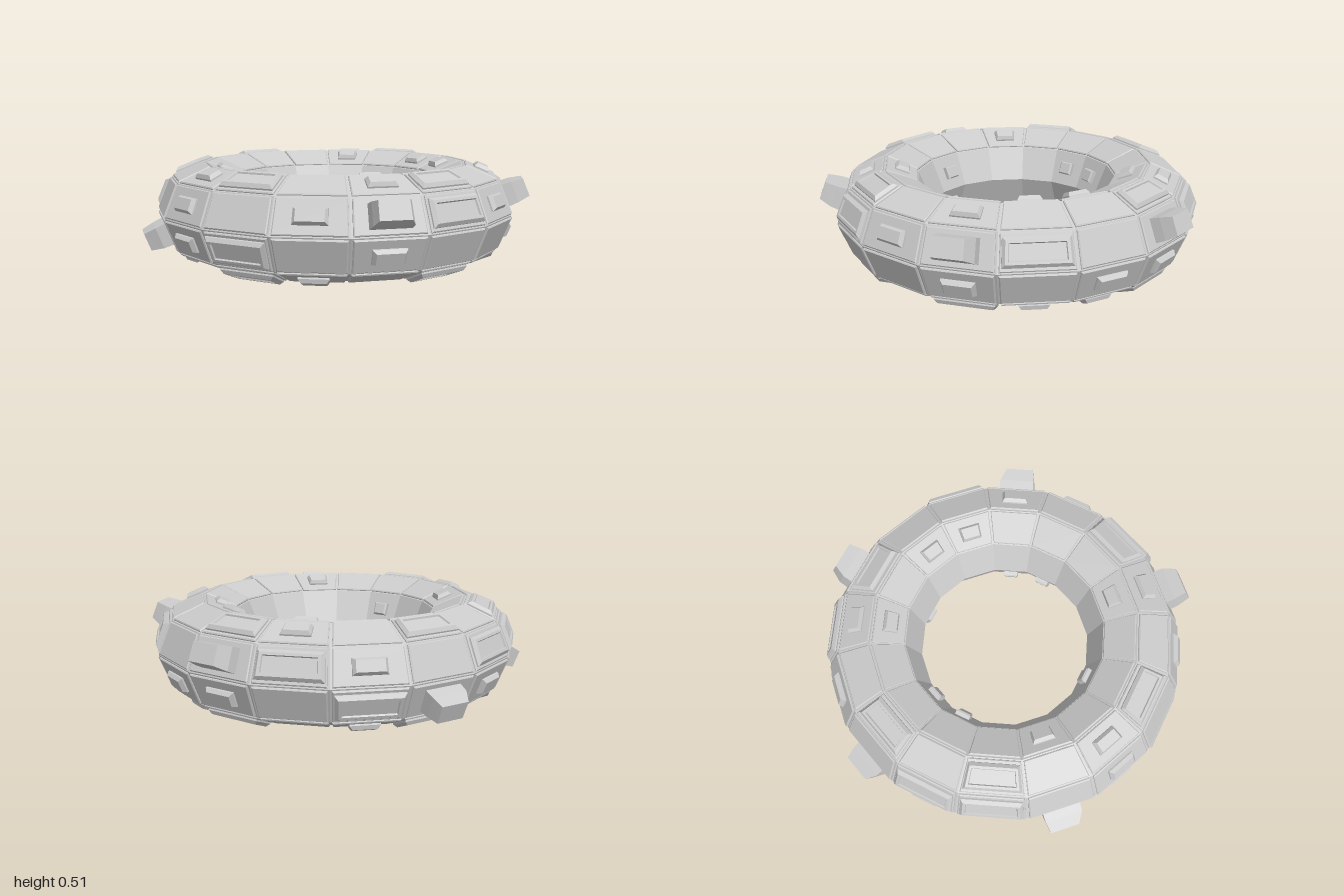
import * as THREE from 'three';
import { mergeGeometries } from 'three/addons/utils/BufferGeometryUtils.js';

const SEGS = 16, SIDES = 8, R = 0.68, TUBE = 0.24;
const CENTER = new THREE.Vector3(0.03, 0.275, 0.005);

// Point on the ring: i counts segments from the front towards +x, j counts tube sides upwards from the outside
function ringPoint(i, j) {
  const a = (i / SEGS) * Math.PI * 2, t = (j / SIDES) * Math.PI * 2;
  const r = R + TUBE * Math.cos(t);
  return new THREE.Vector3(r * Math.sin(a), TUBE * Math.sin(t), r * Math.cos(a));
}

// Stepped plate on facet (i, j). Each step is [width, height, lift, shiftU, shiftV]:
// fractions of the facet, then the distance out from it
function plate(i, j, steps) {
  const c = [ringPoint(i, j), ringPoint(i + 1, j), ringPoint(i + 1, j + 1), ringPoint(i, j + 1)];
  const n = c[1].clone().sub(c[0]).cross(c[3].clone().sub(c[0])).normalize();
  const at = (u, v, h) => c[0].clone().lerp(c[1], u)
    .lerp(c[3].clone().lerp(c[2], u), v).addScaledVector(n, h);
  const loops = steps.map(([w, t, h, su = 0, sv = 0]) =>
    [[-1, -1], [1, -1], [1, 1], [-1, 1]].map(([x, y]) =>
      at(0.5 + su + (x * w) / 2, 0.5 + sv + (y * t) / 2, h)));
  const pos = [];
  const quad = (a, b, d, e) => [a, b, d, a, d, e].forEach(p => pos.push(p.x, p.y, p.z));
  for (let k = 0; k + 1 < loops.length; k++) {
    for (let s = 0; s < 4; s++) {
      const q = (s + 1) % 4;
      quad(loops[k][s], loops[k][q], loops[k + 1][q], loops[k + 1][s]);
    }
  }
  quad(...loops[loops.length - 1]);
  const g = new THREE.BufferGeometry();
  g.setAttribute('position', new THREE.Float32BufferAttribute(pos, 3));
  g.computeVertexNormals();
  return g;
}

// Step profiles for each kind of plate
const SKIN = [[0.95, 0.93, -0.005], [0.95, 0.93, 0.005], [0.92, 0.88, 0.01]];
const FRAME = [[0.9, 0.74, 0.005], [0.9, 0.74, 0.018], [0.82, 0.58, 0.034],
  [0.74, 0.44, 0.034], [0.72, 0.4, 0.026]];
const SMALL = [[0.46, 0.42, 0], [0.46, 0.42, 0.018], [0.38, 0.3, 0.036]];
const STUD = [[0.4, 0.36, -0.005], [0.4, 0.36, 0.02], [0.32, 0.3, 0.028]];
const BLOCK = [[0.56, 0.64, 0], [0.54, 0.6, 0.06], [0.42, 0.5, 0.122, -0.03, 0]];

// Segments carrying each kind of plate, by tube side
const FRAMES = {
  0: [0, 3, 6, 9, 10],
  1: [0, 5, 8, 10, 13],
  6: [0, 2, 5, 8, 10, 13],
  7: [13, 7],
};
const SMALLS = {
  0: [1, 7, 12, 14],
  1: [2, 6, 12, 15],
  2: [3, 4, 6, 11, 15],
  5: [1, 3, 6, 8, 9, 11, 12, 14],
  6: [3, 4, 7, 11, 14],
  7: [2, 4, 5, 9, 12, 15],
};
const STUDS = { 3: [8, 9, 13], 4: [1, 2, 5, 8, 13] };
const BLOCKS = { 0: [2, 5, 15], 7: [8, 11] };

export function createModel() {
  const group = new THREE.Group();
  const material = new THREE.MeshStandardMaterial({ color: 0xcccccc, flatShading: true });
  const add = (name, geometry) => {
    const mesh = new THREE.Mesh(geometry, material);
    mesh.name = name;
    mesh.position.copy(CENTER);
    group.add(mesh);
  };
  const addPlates = (name, layout, steps) => add(name, mergeGeometries(
    Object.entries(layout).flatMap(([j, list]) => list.map(i => plate(i, Number(j), steps)))));

  // Faceted ring body
  add('ringBody', new THREE.TorusGeometry(R, TUBE, SIDES, SEGS).rotateX(-Math.PI / 2));

  // Thin skin plates on every facet except the bare inner wall
  const all = Array.from({ length: SEGS }, (_, i) => i);
  addPlates('skinPanels', { 0: all, 1: all, 2: all, 5: all, 6: all, 7: all }, SKIN);

  // Raised details
  addPlates('framedPanels', FRAMES, FRAME);
  addPlates('smallHatches', SMALLS, SMALL);
  addPlates('innerWallStuds', STUDS, STUD);
  addPlates('outerBlocks', BLOCKS, BLOCK);
  return group;
}
